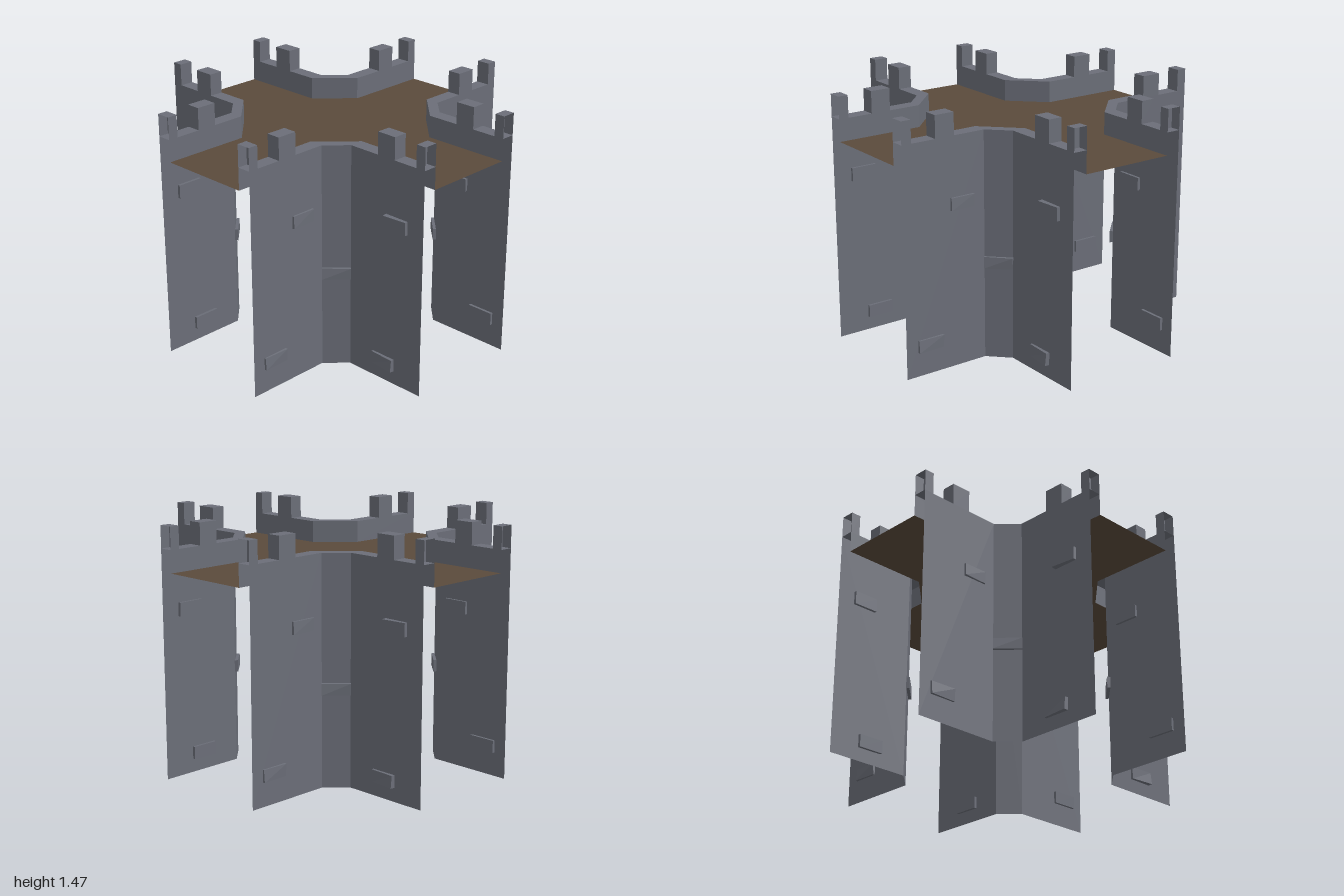
import * as THREE from 'three';

const stone = new THREE.MeshStandardMaterial({ color: 0x6b6e78, side: THREE.DoubleSide });
stone.name = 'stone grey';
const earth = new THREE.MeshStandardMaterial({ color: 0x5a4a3b, side: THREE.DoubleSide });
earth.name = 'walkway brown';

const FLOOR = 1.21, TOP = 1.34, CREST = 1.47;
const IN = 0.28, OUT = 0.363, BEND = 0.476;

function mesh(geometry, material, name) {
  const m = new THREE.Mesh(geometry, material);
  m.name = name;
  return m;
}

// Flat-faced strip of quads between two rows of points
function strip(a, b) {
  const pos = [];
  for (let i = 0; i + 1 < a.length; i++) {
    pos.push(...a[i], ...a[i + 1], ...b[i + 1], ...a[i], ...b[i + 1], ...b[i]);
  }
  const g = new THREE.BufferGeometry();
  g.setAttribute('position', new THREE.Float32BufferAttribute(pos, 3));
  g.computeVertexNormals();
  return g;
}

// Plan line of one corner at distance d from the arm axes, at height y
const line = (d, y) => [[d, y, 1], [d, y, BEND], [BEND, y, d], [1, y, d]];

// Merlon box; the bottom is left out, and the outer end too where open
function merlon(x0, x1, side, open) {
  const w = x1 - x0, h = CREST - TOP;
  const g = new THREE.BoxGeometry(w, h, OUT - IN);
  const endFace = side > 0 ? 0 : 1;
  const keep = [];
  g.index.array.forEach((v, i) => {
    const face = Math.floor(i / 6);
    if (face !== 3 && !(open && face === endFace)) keep.push(v);
  });
  g.setIndex(keep);
  g.clearGroups();
  g.translate(side * (x0 + x1) / 2, TOP + h / 2, (IN + OUT) / 2);
  return mesh(g, stone, open ? 'endMerlon' : 'merlon');
}

// Rough stone: a box whose four front corners stand out by different amounts
function brick(x0, x1, y0, y1, [tl, tr, bl, br]) {
  const g = new THREE.BoxGeometry(x1 - x0, y1 - y0, 0.04).toNonIndexed();
  const p = g.attributes.position;
  for (let i = 0; i < p.count; i++) {
    const x = p.getX(i), y = p.getY(i);
    if (p.getZ(i) < 0) p.setZ(i, -0.018);
    else {
      p.setZ(i, y > 0 ? (x < 0 ? tl : tr) : (x < 0 ? bl : br));
      p.setXY(i, x * 0.97, y * 0.95);
    }
  }
  g.computeVertexNormals();
  g.translate((x0 + x1) / 2, (y0 + y1) / 2, 0);
  return mesh(g, stone, 'wallStone');
}

// One quarter: a bent corner wall, plus the merlons and stones facing +z
function quarter() {
  const q = new THREE.Group();
  q.name = 'wallQuarter';
  q.add(
    mesh(strip(line(OUT, 0), line(OUT, TOP)), stone, 'outerWall'),
    mesh(strip(line(IN, TOP), line(IN, FLOOR)), stone, 'parapetInside'),
    mesh(strip(line(OUT, TOP), line(IN, TOP)), stone, 'parapetTop'),
  );
  for (const s of [-1, 1]) {
    q.add(merlon(0.67, 0.79, s, false), merlon(0.94, 1, s, true));
  }
  const stones = new THREE.Group();
  stones.name = 'wallStones';
  stones.position.z = OUT;
  stones.add(
    brick(0.735, 0.89, 0.94, 1.02, [0.03, 0.018, 0.034, 0.018]),
    brick(0.65, 0.81, 0.08, 0.155, [0.012, 0.02, 0.014, 0.028]),
    brick(-0.70, -0.545, 0.92, 0.995, [0.01, 0.012, 0.014, 0.01]),
    brick(-0.925, -0.76, 0.14, 0.215, [0.008, 0.014, 0.014, 0.01]),
  );
  // Stone across the slanted corner
  const corner = brick(-0.083, 0.083, 0.54, 0.61, [0.01, 0.016, 0.018, 0.012]);
  corner.name = 'cornerStone';
  corner.position.set((OUT + BEND) / 2, 0, (OUT + BEND) / 2);
  corner.rotation.y = Math.PI / 4;
  q.add(stones, corner);
  return q;
}

export function createModel() {
  const model = new THREE.Group();
  model.name = 'wallCrossing';

  for (let i = 0; i < 4; i++) {
    const q = quarter();
    q.rotation.y = i * Math.PI / 2;
    model.add(q);
  }

  // Cross-shaped walkway with slanted inner corners
  const pts = [];
  for (let i = 0; i < 4; i++) {
    const c = Math.round(Math.cos(i * Math.PI / 2)), s = Math.round(Math.sin(i * Math.PI / 2));
    for (const [x, y] of [[1, IN], [BEND, IN], [IN, BEND], [IN, 1]]) {
      pts.push(new THREE.Vector2(x * c - y * s, x * s + y * c));
    }
  }
  const floor = new THREE.ShapeGeometry(new THREE.Shape(pts));
  floor.rotateX(-Math.PI / 2);
  floor.translate(0, FLOOR, 0);
  model.add(mesh(floor, earth, 'walkway'));
  return model;
}
